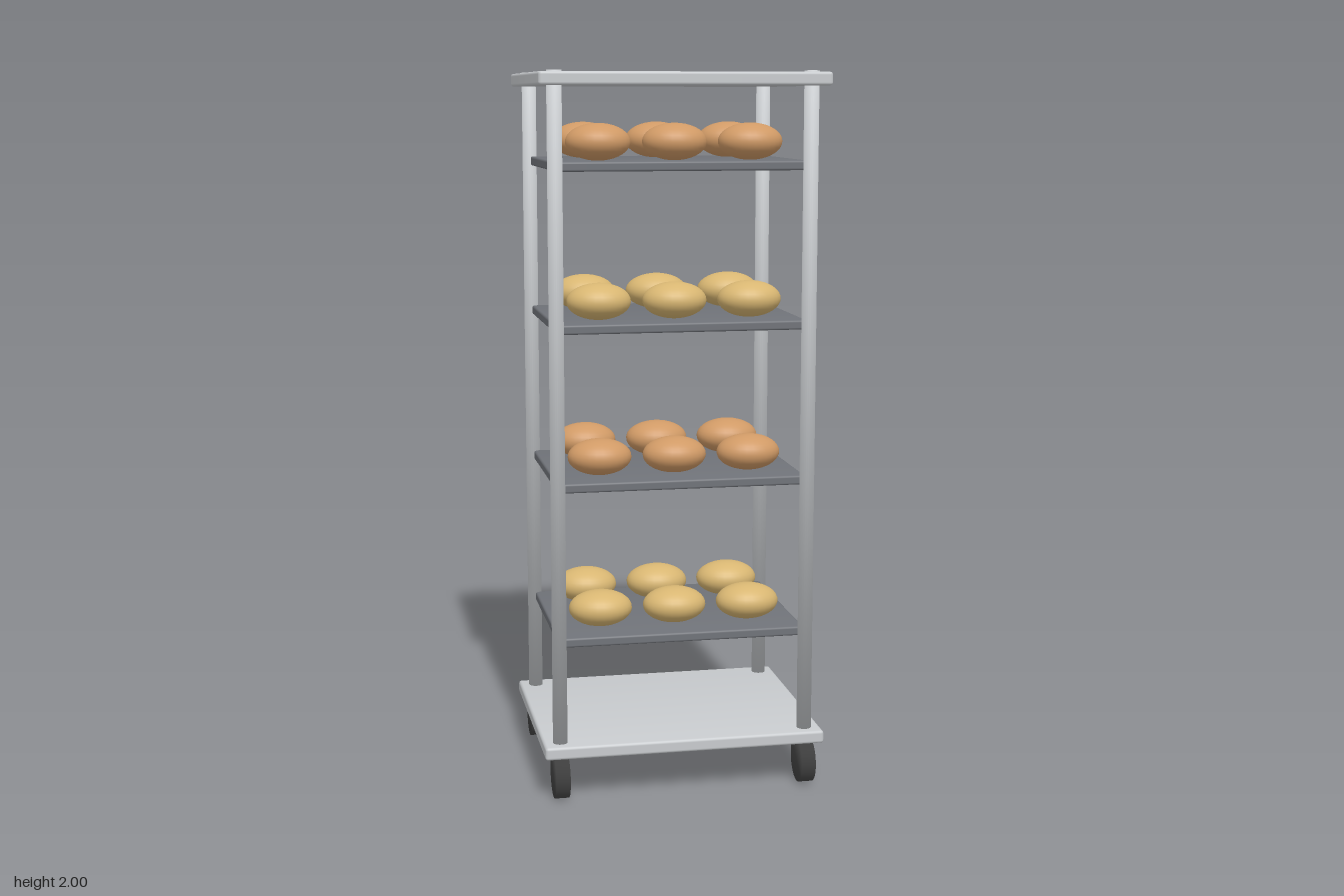
import * as THREE from 'three';
import { RoundedBoxGeometry } from 'three/addons/geometries/RoundedBoxGeometry.js';

const mat = (name, color) => {
  const m = new THREE.MeshStandardMaterial({ color });
  m.name = name;
  return m;
};

// Cylinder whose normals blend smoothly across the rims
function softCylinder(radius, length, sides) {
  const g = new THREE.CylinderGeometry(radius, radius, length, sides);
  const p = g.attributes.position, n = g.attributes.normal;
  const v = new THREE.Vector3();
  for (let i = 0; i < p.count; i++) {
    v.set(p.getX(i) / radius, Math.sign(p.getY(i)), p.getZ(i) / radius).normalize();
    n.setXYZ(i, v.x, v.y, v.z);
  }
  return g;
}

// Thin rounded slab whose normals lean slightly outward at the corners
function softSlab(w, h, d, radius) {
  const g = new RoundedBoxGeometry(w, h, d, 2, radius);
  const p = g.attributes.position, n = g.attributes.normal;
  const v = new THREE.Vector3();
  for (let i = 0; i < p.count; i++) {
    v.fromBufferAttribute(n, i);
    v.x += 0.12 * Math.sign(p.getX(i));
    v.z += 0.12 * Math.sign(p.getZ(i));
    v.normalize();
    n.setXYZ(i, v.x, v.y, v.z);
  }
  return g;
}

export function createModel() {
  const model = new THREE.Group();
  model.name = 'bakeryRack';

  const metal = mat('brushed metal', 0xc8cbce);
  const trayGrey = mat('tray grey', 0x707379);
  const rubber = mat('dark rubber', 0x444444);
  const brownCrust = mat('brown crust', 0xd09a66);
  const goldenCrust = mat('golden crust', 0xd8b672);

  const add = (parent, name, geometry, material, x, y, z) => {
    const m = new THREE.Mesh(geometry, material);
    m.name = name;
    m.position.set(x, y, z);
    parent.add(m);
    return m;
  };

  // Top and base plates
  const plate = softSlab(0.794, 0.036, 0.64, 0.008);
  add(model, 'topPlate', plate, metal, 0, 1.978, 0);
  add(model, 'basePlate', plate, metal, 0, 0.141, 0);

  // Corner posts, each above a caster wheel
  const post = softCylinder(0.0205, 1.86, 24);
  const wheel = softCylinder(0.0635, 0.04, 28).rotateZ(Math.PI / 2);
  for (const x of [-0.35, 0.35]) {
    for (const z of [-0.272, 0.272]) {
      add(model, 'post', post, metal, x, 1.07, z);
      add(model, 'wheel', wheel, rubber, x, 0.0635, z);
    }
  }

  // Four trays, each with two rows of three loaves
  const tray = softSlab(0.698, 0.026, 0.53, 0.006);
  const loaf = new THREE.SphereGeometry(1, 28, 18).scale(0.09, 0.051, 0.073);
  for (let i = 0; i < 4; i++) {
    const shelf = new THREE.Group();
    shelf.name = 'shelf';
    shelf.position.y = 0.44 + i * 0.4355;
    model.add(shelf);
    add(shelf, 'tray', tray, trayGrey, 0, 0, 0);
    for (const x of [-0.213, 0, 0.213]) {
      for (const z of [-0.136, 0.136]) {
        add(shelf, 'loaf', loaf, i % 2 ? brownCrust : goldenCrust, x, 0.063, z);
      }
    }
  }
  return model;
}
